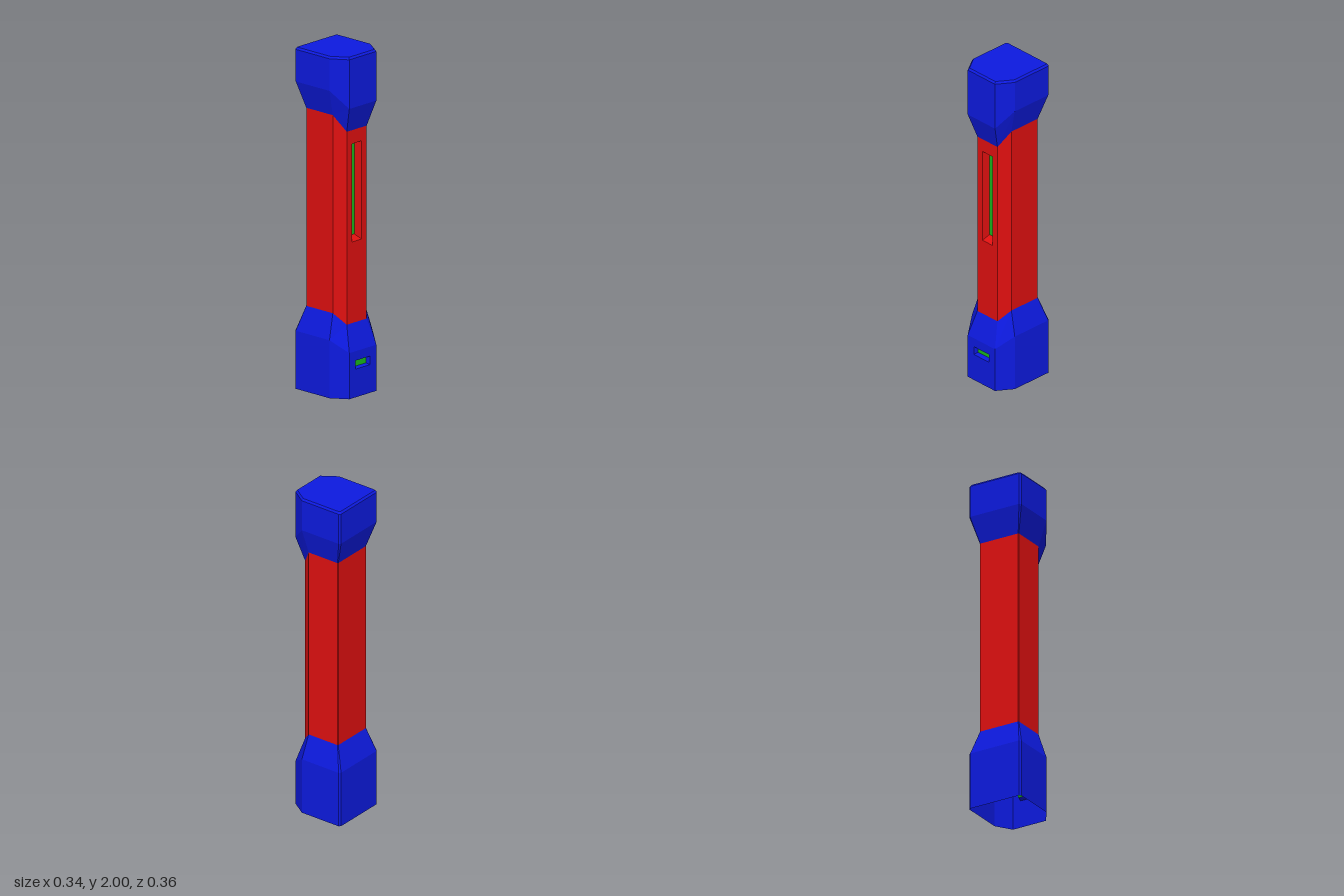
import * as THREE from 'three';

const material = (color) =>
  new THREE.MeshStandardMaterial({ color, flatShading: true, side: THREE.DoubleSide });
const blue = material(0x0d1ae0);
const red = material(0xe01010);
const green = material(0x18b81c);

// Cross-sections: f = half front width, w = half width, front / shoulder / back = z, c = back corner cut
const WIDE = { f: 0.11, w: 0.172, front: 0.182, shoulder: 0.088, back: -0.182, c: 0.01 };
const SLIM = { f: 0.081, w: 0.129, front: 0.135, shoulder: 0.073, back: -0.134, c: 0.003 };
const INSET = { f: 0.104, w: 0.163, front: 0.173, shoulder: 0.085, back: -0.173, c: 0.01 };

// Eight-point ring; the two front corners sit at their own height
function ring({ f, w, front, shoulder, back, c }, yFront, ySide = yFront) {
  const half = [[f, yFront, front], [w, ySide, shoulder], [w, ySide, back + c], [w - c, ySide, back]];
  return [...half, ...half.map(([x, y, z]) => [-x, y, z]).reverse()];
}

// Skin between successive rings (bottom to top); openFront leaves the front panel out
function loft(rings, { openFront = false, cap = false } = {}) {
  const pos = [];
  const n = rings[0].length;
  for (let r = 0; r < rings.length - 1; r++) {
    for (let i = 0; i < n; i++) {
      if (openFront && r === 0 && i === n - 1) continue;
      const j = (i + 1) % n;
      const [a, b, c, d] = [rings[r][i], rings[r][j], rings[r + 1][j], rings[r + 1][i]];
      pos.push(...a, ...b, ...c, ...a, ...c, ...d);
    }
  }
  if (cap) {
    const top = rings[rings.length - 1];
    for (let i = 1; i < n - 1; i++) pos.push(...top[0], ...top[i], ...top[i + 1]);
  }
  const g = new THREE.BufferGeometry();
  g.setAttribute('position', new THREE.Float32BufferAttribute(pos, 3));
  g.computeVertexNormals();
  return g;
}

const rect = (w, y0, y1) => [[-w, y0], [w, y0], [w, y1], [-w, y1]];

// Front panel with a sloped recess and a lit strip on its floor
function recessedPanel(name, mat, s, y0, y1, slot) {
  const group = new THREE.Group();
  group.name = name;
  const add = (part, geometry, m) => {
    const mesh = new THREE.Mesh(geometry, m);
    mesh.name = part;
    group.add(mesh);
    return mesh;
  };
  const { w, bottom, top, depth, lip, lipY } = slot;
  const toPoints = (pts) => pts.map(([x, y]) => new THREE.Vector2(x, y));
  const outer = rect(w, bottom, top);
  const inner = rect(w - lip, bottom + lipY, top - lipY);

  const shape = new THREE.Shape(toPoints(rect(s.f, y0, y1)));
  shape.holes.push(new THREE.Path(toPoints(outer)));
  add('frontPanel', new THREE.ShapeGeometry(shape), mat).position.z = s.front;

  const atZ = (pts, z) => pts.map(([x, y]) => [x, y, z]);
  add('recessWalls', loft([atZ(outer, s.front), atZ(inner, s.front - depth)]), mat);

  const strip = add('lightStrip',
    new THREE.BoxGeometry(2 * (w - lip), top - bottom - 2 * lipY, 0.006), green);
  strip.position.set(0, (top + bottom) / 2, s.front - depth);
  return group;
}

export function createModel() {
  const model = new THREE.Group();
  const add = (name, geometry, mat) => {
    const mesh = new THREE.Mesh(geometry, mat);
    mesh.name = name;
    model.add(mesh);
  };

  // Hollow base, open underneath, narrowing up to the column
  add('base', loft([ring(WIDE, 0), ring(WIDE, 0.27, 0.34), ring(SLIM, 0.42, 0.485)],
    { openFront: true }), blue);
  model.add(recessedPanel('basePanel', blue, WIDE, 0, 0.27,
    { w: 0.06, bottom: 0.165, top: 0.215, depth: 0.03, lip: 0.006, lipY: 0.006 }));

  // Column with the long slot
  add('column', loft([ring(SLIM, 0.42, 0.485), ring(SLIM, 1.55, 1.645)], { openFront: true }), red);
  model.add(recessedPanel('columnPanel', red, SLIM, 0.42, 1.55,
    { w: 0.04, bottom: 0.895, top: 1.47, depth: 0.05, lip: 0.009, lipY: 0.022 }));

  // Flared head with a bevelled, closed top
  add('head', loft([ring(SLIM, 1.55, 1.645), ring(WIDE, 1.7, 1.8), ring(WIDE, 1.988), ring(INSET, 2)],
    { cap: true }), blue);

  return model;
}
